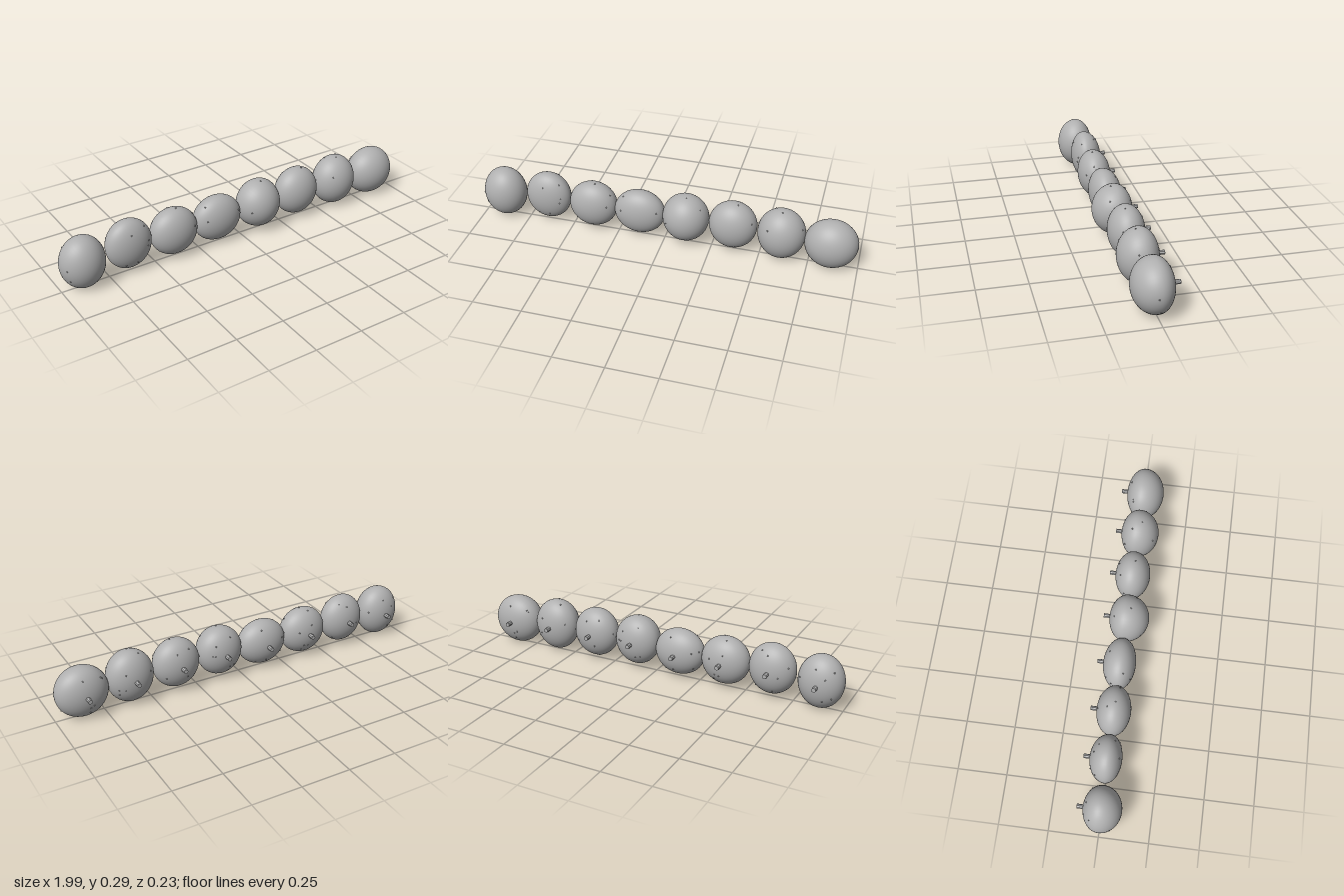
import * as THREE from 'three';

// One row per bead: centre x, centre y, half width, half height, front depth
const BEADS = [
  [-0.883, 0.144, 0.115, 0.137, 0.104],
  [-0.637, 0.159, 0.121, 0.132, 0.073],
  [-0.388, 0.150, 0.128, 0.126, 0.086],
  [-0.136, 0.146, 0.134, 0.122, 0.079],
  [0.111, 0.160, 0.121, 0.130, 0.117],
  [0.357, 0.158, 0.124, 0.131, 0.094],
  [0.606, 0.154, 0.122, 0.138, 0.110],
  [0.857, 0.139, 0.135, 0.132, 0.110],
];
const BACK_DEPTH = 0.088;

// Bumps on the front of each bead, as fractions of its half width and half height
const FRONT_BUMPS = [
  [[-0.76, -0.41], [-0.86, 0.02]],
  [[-0.07, 0.56], [0.6, 0.68], [0.64, -0.08], [0.69, 0.12], [0.15, -0.64], [-0.33, -0.68]],
  [[0.77, 0.6], [0.7, 0.2], [0.1, 0.99]],
  [[-0.64, 0.2], [-0.6, 0.74], [0.76, 0.26]],
  [[-0.7, -0.04], [0.7, 0.61], [0.05, 0.98]],
  [[0.83, 0.33], [0.2, 0.97]],
  [[-0.5, 0.4], [0, 0.98], [0.87, 0.4]],
  [[0.99, 0.01], [0.8, -0.6]],
];

function makeRandom(seed) {
  return () => {
    seed = (seed * 16807) % 2147483647;
    return seed / 2147483647;
  };
}

export function createModel() {
  const model = new THREE.Group();
  model.name = 'beadRow';
  const grey = new THREE.MeshStandardMaterial({ color: 0xb0b0b0 });
  const random = makeRandom(4217);

  // Dome pointing along +z, shared by both halves of every bead
  const dome = new THREE.SphereGeometry(1, 40, 16, 0, Math.PI * 2, 0, Math.PI / 2).rotateX(Math.PI / 2);
  const backDome = dome.clone().rotateY(Math.PI);
  const bumpShape = new THREE.SphereGeometry(0.0038, 8, 6);
  const stemShape = new THREE.CylinderGeometry(0.0115, 0.0115, 0.04, 8).toNonIndexed();
  stemShape.computeVertexNormals();
  stemShape.rotateX(Math.PI / 2);

  const add = (group, geometry, name) => {
    const mesh = new THREE.Mesh(geometry, grey);
    mesh.name = name;
    group.add(mesh);
    return mesh;
  };

  BEADS.forEach(([x, y, rx, ry, frontDepth], i) => {
    const bead = new THREE.Group();
    bead.name = `bead${i + 1}`;
    bead.position.set(x, y, 0);
    model.add(bead);

    // Body with a fuller front and a shallower back
    add(bead, dome, 'bodyFront').scale.set(rx, ry, frontDepth);
    add(bead, backDome, 'bodyBack').scale.set(rx, ry, BACK_DEPTH);

    // Short stem at the back
    add(bead, stemShape, 'stem').position.z = -0.098;

    // Small bumps on the surface
    const addBump = (u, v, depth) => {
      const w = Math.sqrt(Math.max(0, 1 - u * u - v * v));
      add(bead, bumpShape, 'bump').position.set(u * rx, v * ry, w * depth);
    };
    FRONT_BUMPS[i].forEach(([u, v]) => addBump(u, v, frontDepth));
    for (let k = 0; k < 6; k++) {
      const angle = random() * Math.PI * 2;
      const radius = 0.4 + 0.58 * random();
      addBump(Math.cos(angle) * radius, Math.sin(angle) * radius, -BACK_DEPTH);
    }
  });

  return model;
}
